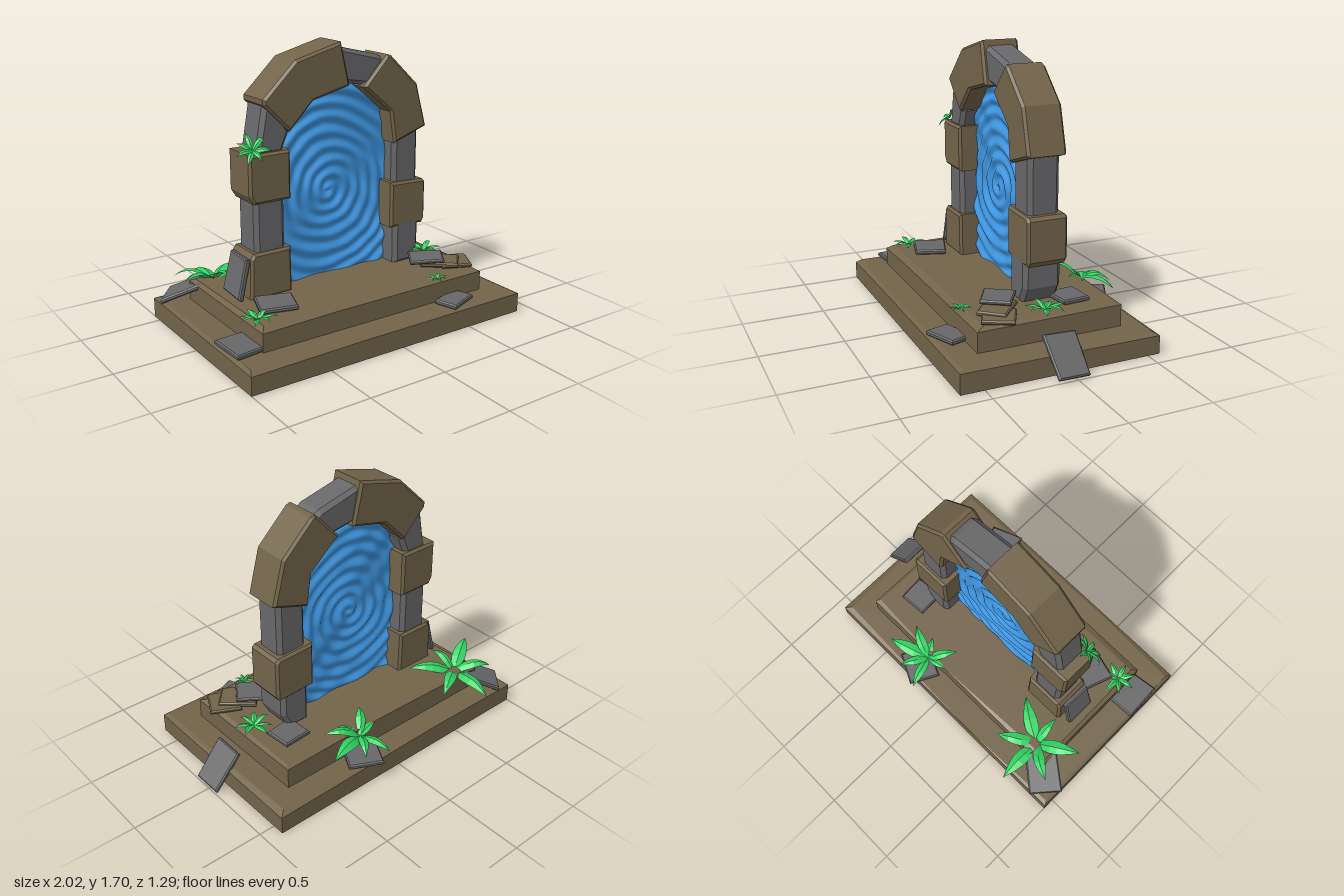
import * as THREE from 'three';
import { ConvexGeometry } from 'three/addons/geometries/ConvexGeometry.js';

const stone = (color) => new THREE.MeshStandardMaterial({ color, flatShading: true });
const BROWN = stone(0x73644a);
const GREY = stone(0x68686a);
const LEAF = new THREE.MeshStandardMaterial({ color: 0x32d463, flatShading: true, side: THREE.DoubleSide });
const WATER = new THREE.MeshStandardMaterial({ color: 0x3f98e4, side: THREE.DoubleSide });

function add(parent, name, geometry, material) {
  const mesh = new THREE.Mesh(geometry, material);
  mesh.name = name;
  parent.add(mesh);
  return mesh;
}

// Stone cut from a flat outline, chamfered on front and back
function block(outline, z0, z1, bevel) {
  const shape = new THREE.Shape(outline.map(([x, y]) => new THREE.Vector2(x, y)));
  const geometry = new THREE.ExtrudeGeometry(shape, {
    depth: z1 - z0 - 2 * bevel, bevelEnabled: true, bevelSegments: 1,
    bevelThickness: bevel, bevelSize: bevel, bevelOffset: -bevel,
  });
  return geometry.translate(0, 0, z0 + bevel);
}

// Chipped rock as the hull of a few corner points
const hull = (points) => new ConvexGeometry(points.map((p) => new THREE.Vector3(...p)));

// Flat paving slab with slightly skewed corners
function slab(parent, name, [w, d, t], position, rotation, material = GREY) {
  const x = w / 2, y = d / 2;
  const outline = [[-x, -y], [x * 0.95, -y * 0.93], [x, y * 0.95], [-x * 0.92, y]];
  const geometry = block(outline, -t / 2, t / 2, 0.008).rotateX(-Math.PI / 2);
  const mesh = add(parent, name, geometry, material);
  mesh.position.set(...position);
  mesh.rotation.set(...rotation);
}

// Arched leaf with a raised midrib, pointing along +z
function leafGeometry(length, width, rise) {
  const rows = 6, positions = [], index = [];
  for (let i = 0; i <= rows; i++) {
    const t = i / rows;
    const half = 0.5 * width * Math.sin(Math.PI * (0.06 + 0.94 * t ** 0.85));
    const y = rise * Math.sin(Math.PI * 0.85 * t);
    const z = length * t;
    positions.push(-half, y - half * 0.4, z, 0, y, z, half, y - half * 0.4, z);
    if (i === rows) break;
    for (let k = 0; k < 2; k++) {
      const a = i * 3 + k;
      index.push(a, a + 3, a + 1, a + 1, a + 3, a + 4);
    }
  }
  const geometry = new THREE.BufferGeometry();
  geometry.setAttribute('position', new THREE.Float32BufferAttribute(positions, 3));
  geometry.setIndex(index);
  geometry.computeVertexNormals();
  return geometry;
}

// Plant: leaves listed as [dx, dz] tips seen from above
function fern(parent, name, position, rotation, scale, tips) {
  const plant = new THREE.Group();
  plant.name = name;
  plant.position.set(...position);
  plant.rotation.set(...rotation);
  tips.forEach(([dx, dz], i) => {
    const length = Math.hypot(dx, dz) * scale;
    const leaf = add(plant, 'leaf', leafGeometry(length, length * 0.3, length * (0.22 + 0.1 * (i % 2))), LEAF);
    leaf.rotation.y = Math.atan2(dx, dz);
  });
  parent.add(plant);
}

// Rippled sheet filling the arch
function waterGeometry() {
  const geometry = new THREE.PlaneGeometry(1, 1, 70, 100);
  const p = geometry.attributes.position;
  for (let i = 0; i < p.count; i++) {
    const y = 0.25 + (p.getY(i) + 0.5) * 1.24;
    const half = 0.42 * Math.sqrt(1 - Math.min(1, Math.max(0, (y - 1.15) / 0.35)) ** 2);
    const x = -0.04 + p.getX(i) * 2 * half;
    const dx = x + 0.08, dy = y - 0.8;
    const r = Math.hypot(dx, dy);
    const wobble = 0.7 * Math.sin(9 * x + 5 * y) + 0.5 * Math.sin(13 * y - 8 * x);
    const z = 0.009 * Math.sin(r * 72 + Math.atan2(dy, dx) + wobble) + 0.004 * Math.sin(23 * x + 31 * y);
    p.setXYZ(i, x, y, z - 0.02);
  }
  geometry.computeVertexNormals();
  return geometry;
}

export function createModel() {
  const model = new THREE.Group();
  model.name = 'stonePortal';

  // Two stepped plinth slabs with worn top edges
  add(model, 'lowerStep', hull([
    [-1, 0, -0.575], [0.9, 0, -0.575], [0.9, 0, 0.64], [-1, 0, 0.64],
    [-1, 0.12, -0.575], [0.9, 0.11, -0.575], [0.9, 0.12, 0.64], [-1, 0.11, 0.64],
    [-0.98, 0.13, -0.55], [-0.3, 0.13, -0.575], [0.86, 0.13, -0.54], [0.87, 0.13, 0.61],
    [-0.3, 0.12, 0.64], [-0.4, 0.13, 0.62], [-0.2, 0.13, 0.6], [-0.98, 0.13, 0.6],
  ]), BROWN);
  add(model, 'upperStep', hull([
    [-0.83, 0.12, -0.42], [0.73, 0.12, -0.42], [0.73, 0.12, 0.47], [-0.83, 0.12, 0.47],
    [-0.83, 0.25, -0.42], [0.73, 0.26, -0.42], [0.73, 0.25, 0.47], [-0.83, 0.24, 0.47],
    [-0.81, 0.27, -0.38], [-0.3, 0.27, -0.39], [0.1, 0.27, -0.42], [0.71, 0.27, -0.39],
    [0.7, 0.27, 0.42], [0.2, 0.27, 0.28], [-0.32, 0.265, 0.4], [-0.8, 0.265, 0.43],
    [-0.35, 0.25, 0.47], [0.25, 0.245, 0.47],
  ]), BROWN);

  // Grey pillars and arch links
  const grey = [
    ['leftPillar', [[-0.63, 0.25], [-0.44, 0.25], [-0.44, 0.86], [-0.64, 0.86], [-0.64, 0.5]], -0.12, 0.08],
    ['leftSpringer', [[-0.62, 1.1], [-0.45, 1.1], [-0.40, 1.22], [-0.5, 1.42], [-0.57, 1.38]], -0.12, 0.08],
    ['keystone', [[-0.07, 1.46], [0.22, 1.41], [0.27, 1.57], [0.22, 1.6], [-0.07, 1.67]], -0.12, 0.075],
    ['rightPillar', [[0.34, 0.5], [0.535, 0.5], [0.535, 1.2], [0.34, 1.2]], -0.12, 0.075],
    ['rightFoot', [[0.34, 0.26], [0.48, 0.26], [0.535, 0.36], [0.535, 0.55], [0.34, 0.55]], -0.135, 0.1],
  ];
  grey.forEach(([name, outline, z0, z1]) => add(model, name, block(outline, z0, z1, 0.025), GREY));

  // Brown blocks stacked around the opening
  const brown = [
    ['leftFootBlock', [[-0.69, 0.26], [-0.41, 0.26], [-0.415, 0.54], [-0.66, 0.54], [-0.68, 0.51]], -0.14, 0.1],
    ['leftMiddleBlock', [[-0.65, 0.83], [-0.41, 0.83], [-0.41, 1.12], [-0.68, 1.12], [-0.68, 0.88]], -0.14, 0.1],
    ['leftArchBlock', [[-0.58, 1.39], [-0.41, 1.22], [-0.25, 1.38], [0, 1.44], [-0.06, 1.7], [-0.18, 1.67],
      [-0.37, 1.62], [-0.58, 1.42]], -0.14, 0.1],
    ['rightArchBlock', [[0.1, 1.42], [0.3, 1.25], [0.33, 1.05], [0.575, 1.13], [0.5, 1.4], [0.3, 1.59], [0.27, 1.6]],
      -0.14, 0.1],
    ['rightMiddleBlock', [[0.31, 0.51], [0.56, 0.5], [0.58, 0.53], [0.58, 0.77], [0.56, 0.79], [0.31, 0.8]], -0.15, 0.1],
  ];
  brown.forEach(([name, outline, z0, z1]) => add(model, name, block(outline, z0, z1, 0.015), BROWN));

  add(model, 'water', waterGeometry(), WATER);

  // Loose slabs lying on and leaning against the steps
  slab(model, 'backLeftSlab', [0.28, 0.21, 0.03], [-0.85, 0.2, -0.44], [0, -0.66, 0.4]);
  slab(model, 'frontLeftSlab', [0.2, 0.25, 0.03], [-0.9, 0.146, 0.35], [0, 0.08, 0]);
  slab(model, 'leftStepSlab', [0.23, 0.21, 0.03], [-0.61, 0.283, 0.24], [0, -0.3, 0]);
  slab(model, 'leaningSlab', [0.25, 0.2, 0.035], [-0.72, 0.395, -0.01], [0, 0, 1.33]);
  slab(model, 'backSlab', [0.22, 0.2, 0.03], [0.23, 0.146, -0.5], [0, -0.45, 0]);
  slab(model, 'rightBackSlab', [0.19, 0.18, 0.03], [0.535, 0.283, -0.18], [0, 0.1, 0]);
  slab(model, 'rightLeaningSlab', [0.27, 0.2, 0.03], [0.905, 0.11, 0.025], [0, 0.04, -0.82]);
  slab(model, 'rightTopSlab', [0.22, 0.19, 0.025], [0.48, 0.325, 0.24], [0, -0.55, 0.04]);
  slab(model, 'rightBrownSlab', [0.2, 0.2, 0.025], [0.65, 0.285, 0.31], [0, -0.45, 0], BROWN);
  slab(model, 'rightUnderSlab', [0.24, 0.18, 0.03], [0.56, 0.297, 0.28], [0, -0.7, 0], BROWN);
  slab(model, 'frontRightSlab', [0.22, 0.15, 0.03], [0.47, 0.146, 0.53], [0, 0.35, 0]);

  // Ferns
  const star = [[0, -1], [0.85, -0.5], [0.9, 0.35], [0.2, 0.8], [-0.55, 0.75], [-0.9, 0.1], [-0.6, -0.6]];
  fern(model, 'largeFern', [-0.7, 0.25, -0.35], [-0.25, 0, -0.1], 1,
    [[0, -0.3], [0.22, -0.13], [0.25, 0.17], [0.01, 0.2], [-0.25, 0.15], [-0.21, -0.12]]);
  fern(model, 'backFern', [0.2, 0.24, -0.44], [-0.25, 0, 0], 1,
    [[-0.06, -0.2], [0.1, -0.16], [0.27, -0.08], [0.2, 0.1], [0.07, 0.12], [-0.12, 0.16], [-0.14, 0.03]]);
  fern(model, 'rightFern', [0.64, 0.27, 0.02], [0, 0, 0], 0.13, star);
  fern(model, 'frontFern', [0.41, 0.26, 0.44], [0, 0.3, 0], 0.075, star);
  fern(model, 'leftFern', [-0.78, 0.26, 0.33], [0, 0, 0], 0.125, star);
  fern(model, 'wallFern', [-0.64, 1.14, 0.07], [0.75, 0, 0.3], 0.115, star);

  return model;
}
